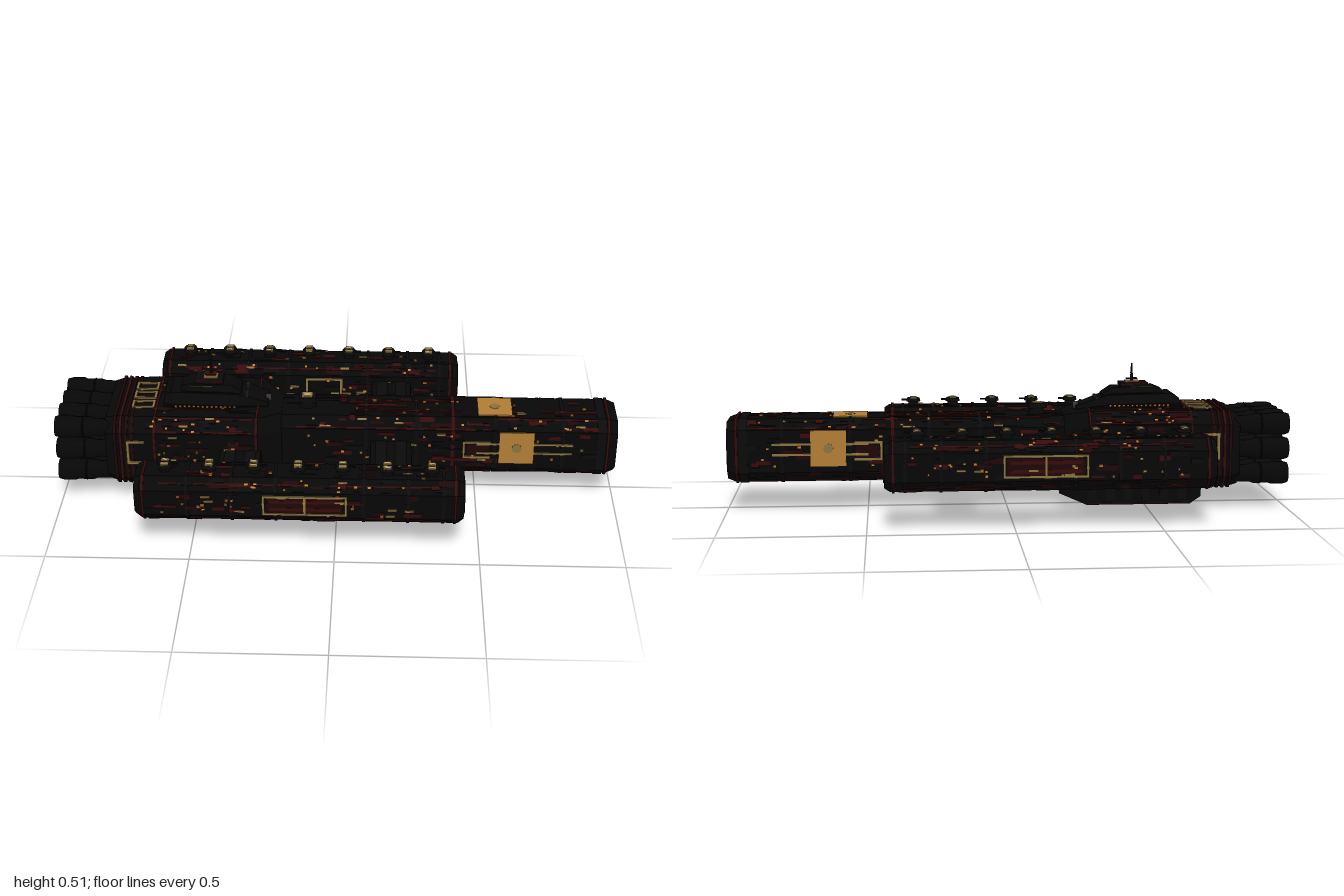
import * as THREE from 'three';
import { mergeGeometries } from 'three/addons/utils/BufferGeometryUtils.js';

export function createModel() {
  const group = new THREE.Group();
  const mat = (name, color) => {
    const m = new THREE.MeshStandardMaterial({ color });
    m.name = name;
    return m;
  };
  const M = {
    black: mat('hull black', 0x070707),
    panel: mat('panel black', 0x0c0b0b),
    red: mat('trim red', 0x360a0a),
    deep: mat('deep red', 0x1f0707),
    tan: mat('marking tan', 0x8a7340),
    cream: mat('turret cream', 0xb9a468),
    orange: mat('panel orange', 0xb27d35),
    light: mat('window amber', 0xd07a2a),
    grey: mat('sensor grey', 0x34322f),
  };

  // Collect geometry by part and colour; each bin becomes one mesh
  const bins = new Map();
  const add = (part, color, geo) => {
    const g = geo.index ? geo.toNonIndexed() : geo;
    g.deleteAttribute('uv');
    const key = part + ':' + color;
    if (!bins.has(key)) bins.set(key, []);
    bins.get(key).push(g);
  };
  const box = (part, color, x, y, z, w, h, d) =>
    add(part, color, new THREE.BoxGeometry(w, h, d).translate(x, y, z));

  let seed = 77;
  const rnd = () => (seed = (seed * 16807) % 2147483647) / 2147483647;
  const pick = (a) => a[Math.floor(rnd() * a.length)];

  // Octagonal loft along x; section = [x, halfWidth, bottom, top, chamfer]
  const loft = (part, color, sections, zc = 0) => {
    const rings = sections.map(([x, w, b, t, c]) =>
      [[c - w, t], [w - c, t], [w, t - c], [w, b + c], [w - c, b], [c - w, b], [-w, b + c], [-w, t - c]]
        .map(([z, y]) => [x, y, z + zc]));
    const pos = [];
    const tri = (a, b, c) => pos.push(...a, ...b, ...c);
    for (let s = 0; s < rings.length - 1; s++) {
      for (let i = 0; i < 8; i++) {
        const j = (i + 1) % 8, p = rings[s], q = rings[s + 1];
        tri(p[i], p[j], q[j]);
        tri(p[i], q[j], q[i]);
      }
    }
    const first = rings[0], last = rings[rings.length - 1];
    for (let i = 1; i < 7; i++) {
      tri(first[0], first[i + 1], first[i]);
      tri(last[0], last[i], last[i + 1]);
    }
    const g = new THREE.BufferGeometry();
    g.setAttribute('position', new THREE.Float32BufferAttribute(pos, 3));
    g.computeVertexNormals();
    add(part, color, g);
  };

  // Thin plate on face k of a body (0 top, 2 left, 4 bottom, 6 right, odd = chamfers)
  const plate = (body, color, k, x, t, len, wid, thick = 0.004) => {
    const a = k * Math.PI / 4, odd = k % 2 ? body.c / 2 : 0;
    const ny = Math.cos(a), nz = Math.sin(a);
    const dy = Math.abs(ny) < 0.01 ? 0 : Math.sign(ny) * (body.h - odd);
    const dz = Math.abs(nz) < 0.01 ? 0 : Math.sign(nz) * (body.w - odd);
    add(body.name + ' plating', color, new THREE.BoxGeometry(len, thick, wid)
      .translate(0, 0, t).rotateX(a).translate(x, body.y + dy, body.z + dz));
  };
  const frame = (body, color, k, x0, x1, t0, t1, open = false, s = 0.008) => {
    const xm = (x0 + x1) / 2, tm = (t0 + t1) / 2;
    for (const t of [t0, t1]) plate(body, color, k, xm, t, x1 - x0, s, 0.0095);
    for (const x of open ? [x0] : [x0, x1]) plate(body, color, k, x, tm, s, t1 - t0 + s, 0.0095);
  };
  const band = (body, color, x, len, e = 0.003) => {
    const s = [body.w + e, body.y - body.h - e, body.y + body.h + e, body.c + e * 0.5];
    loft(body.name + ' bands', color, [[x - len / 2, ...s], [x + len / 2, ...s]], body.z);
  };
  // Seeded hull panels, then lit windows and short dashes
  const scatter = (body, panels, lights, x0, x1) => {
    const spot = (k) => {
      const half = k % 2 ? body.c * 0.65 : (k % 4 ? body.h : body.w) - body.c;
      return [x0 + rnd() * (x1 - x0), (rnd() * 2 - 1) * half * 0.85];
    };
    for (let i = 0; i < panels; i++) {
      const k = i % 8, [x, t] = spot(k);
      plate(body, pick(['panel', 'black', 'deep', 'red']), k, x, t,
        0.02 + rnd() * 0.06, 0.006 + rnd() * 0.014, 0.004 + rnd() * 0.004);
    }
    for (let i = 0; i < lights; i++) {
      const k = [0, 1, 2, 6, 7, 2, 6][i % 7], [x, t] = spot(k);
      const dash = rnd() < 0.2;
      plate(body, dash ? 'tan' : pick(['light', 'light', 'tan', 'orange']), k, x, t,
        dash ? 0.032 : 0.007 + rnd() * 0.006, 0.007, 0.0095);
    }
  };
  // Chamfered square red ring on an end face
  const endRing = (part, x, y, z, r, inner) => {
    const outline = (C, h) => {
      const c = h * 0.62;
      return new C([[h, -c], [h, c], [c, h], [-c, h], [-h, c], [-h, -c], [-c, -h], [c, -h]]
        .map((p) => new THREE.Vector2(...p)));
    };
    const s = outline(THREE.Shape, r);
    s.holes.push(outline(THREE.Path, inner));
    add(part, 'red', new THREE.ExtrudeGeometry(s, { depth: 0.004, bevelEnabled: false })
      .rotateY(Math.PI / 2).translate(x - 0.002, y, z));
  };

  // Long forward hull
  const hull = { name: 'forward hull', y: 0.22, z: 0, w: 0.108, h: 0.112, c: 0.036 };
  loft('forward hull', 'black', [[-0.3, 0.108, 0.108, 0.332, 0.036], [0.965, 0.108, 0.108, 0.332, 0.036],
    [0.994, 0.098, 0.118, 0.322, 0.034]]);
  endRing('nose ring', 0.995, 0.222, 0, 0.077, 0.055);
  band(hull, 'red', 0.96, 0.009, 0.005);
  band(hull, 'panel', 0.935, 0.03, 0.004);
  for (const x of [0.1, 0.28, 0.41, 0.56, 0.8]) band(hull, x === 0.41 ? 'red' : 'panel', x, 0.012);
  for (const k of [1, 3, 5, 7]) {
    plate(hull, 'red', k, 0.2, 0.02, 0.7, 0.005, 0.006);
    plate(hull, 'red', k, 0.75, -0.02, 0.36, 0.005, 0.006);
  }
  for (const t of [-0.035, 0.035]) plate(hull, 'red', 0, 0.25, t, 0.38, 0.008, 0.007);
  plate(hull, 'red', 0, 0.82, 0.03, 0.2, 0.012, 0.007);
  plate(hull, 'red', 0, 0.16, 0, 0.18, 0.014, 0.007);
  plate(hull, 'deep', 4, 0.07, 0, 0.44, 0.11, 0.008);
  scatter(hull, 240, 100, -0.18, 0.92);
  for (const k of [2, 6]) {
    const s = k === 2 ? 1 : -1;
    plate(hull, 'orange', k, 0.637, -0.01 * s, 0.125, 0.128, 0.0098);
    add('orange panel discs', 'tan', new THREE.CylinderGeometry(0.018, 0.018, 0.004, 8)
      .rotateX(Math.PI / 2).translate(0.637, 0.23, s * 0.112));
    for (const t of [-0.025, 0.012]) plate(hull, 'tan', k, 0.665, t * s, 0.34, 0.008, 0.0095);
    frame(hull, 'tan', k, 0.45, 0.545, -0.03, 0.03, true);
    plate(hull, 'red', k, 0.44, 0.04 * s, 0.11, 0.012, 0.008);
    plate(hull, 'deep', k, 0.5, 0, 0.08, 0.045, 0.006);
  }
  plate(hull, 'orange', 0, 0.56, 0, 0.122, 0.122, 0.0098);
  add('orange panel discs', 'tan', new THREE.CylinderGeometry(0.018, 0.018, 0.004, 8).translate(0.56, 0.336, 0));

  // Wide engine block
  const block = { name: 'engine block', y: 0.217, z: 0, w: 0.188, h: 0.14, c: 0.045 };
  loft('engine block', 'black', [[-0.82, 0.175, 0.09, 0.345, 0.045], [-0.79, 0.182, 0.083, 0.352, 0.045],
    [-0.66, 0.188, 0.077, 0.357, 0.045], [-0.28, 0.188, 0.077, 0.357, 0.045], [-0.2, 0.112, 0.105, 0.335, 0.045]]);
  for (const x of [-0.785, -0.765, -0.745, -0.725]) {
    const s = [0.188, 0.077, 0.358, 0.046];
    loft('engine block bands', x === -0.765 ? 'red' : 'deep', [[x - 0.005, ...s], [x + 0.005, ...s]]);
  }
  band(block, 'red', -0.645, 0.008);
  band(block, 'red', -0.285, 0.008, 0.004);
  for (const k of [1, 3, 5, 7]) for (const t of [-0.025, 0.025]) plate(block, 'red', k, -0.47, t, 0.34, 0.005, 0.006);
  scatter(block, 170, 80, -0.66, -0.31);
  for (const k of [2, 6]) {
    const s = k === 2 ? 1 : -1;
    frame(block, 'tan', k, -0.74, -0.68, Math.min(-0.06 * s, 0.025 * s), Math.max(-0.06 * s, 0.025 * s), true, 0.01);
  }
  for (const z of [-0.068, -0.005, 0.06]) frame(block, 'tan', 0, -0.73, -0.657, z - 0.021, z + 0.021, false, 0.009);
  frame(block, 'tan', 6, -0.6, -0.52, -0.09, -0.045);

  // Engine bells: four columns by three rows
  const bell = [[0, 0], [0.03, 0], [0.032, 0.06], [0.037, 0.075], [0.037, 0.13], [0.041, 0.14],
    [0.041, 0.18], [0.036, 0.198], [0.028, 0.198], [0.022, 0.15], [0, 0.145]].map((p) => new THREE.Vector2(...p));
  for (const y of [0.128, 0.217, 0.306]) {
    for (const z of [-0.135, -0.045, 0.045, 0.135]) {
      add('engine bells', 'black', new THREE.LatheGeometry(bell, 14).rotateZ(Math.PI / 2).translate(-0.802, y, z));
      add('engine bell rings', 'panel', new THREE.TorusGeometry(0.037, 0.003, 4, 14).rotateY(Math.PI / 2).translate(-0.9, y, z));
    }
  }

  // Ventral keel
  const keel = new THREE.Shape([[-0.7, 0.12], [-0.7, 0.035], [-0.66, 0.008], [-0.285, 0.008], [-0.19, 0.05], [-0.19, 0.12]]
    .map((p) => new THREE.Vector2(...p)));
  add('keel', 'black', new THREE.ExtrudeGeometry(keel, { depth: 0.17, bevelEnabled: false }).translate(0, 0, -0.085));
  box('keel skid', 'panel', -0.47, 0.005, 0, 0.34, 0.01, 0.075);
  for (const s of [-1, 1]) {
    box('keel trim', 'red', -0.188, 0.085, s * 0.073, 0.004, 0.07, 0.007);
    box('keel trim', 'red', -0.47, 0.007, s * 0.06, 0.34, 0.005, 0.018);
    box('keel trim', 'deep', -0.47, 0.012, s * 0.085, 0.36, 0.006, 0.005);
    for (let i = 0; i < 6; i++) box('keel ribs', 'panel', -0.63 + i * 0.065, 0.065, s * 0.086, 0.03, 0.08, 0.004);
  }

  // Command tower with mast
  loft('command tower', 'black', [[-0.62, 0.075, 0.34, 0.39, 0.02], [-0.595, 0.088, 0.34, 0.407, 0.03],
    [-0.36, 0.088, 0.34, 0.402, 0.03], [-0.25, 0.05, 0.34, 0.362, 0.009]]);
  loft('upper bridge', 'black', [[-0.56, 0.045, 0.39, 0.42, 0.012], [-0.53, 0.058, 0.39, 0.432, 0.02],
    [-0.38, 0.058, 0.39, 0.428, 0.02], [-0.345, 0.045, 0.39, 0.405, 0.007]]);
  box('bridge roof', 'panel', -0.46, 0.437, 0, 0.1, 0.012, 0.07);
  box('bridge roof trim', 'tan', -0.455, 0.446, 0, 0.05, 0.005, 0.035);
  for (const s of [-1, 1]) {
    for (let i = 0; i < 14; i++) box('bridge windows', 'light', -0.575 + i * 0.016, 0.368, s * 0.089, 0.007, 0.006, 0.004);
    box('tower trim', 'red', -0.48, 0.358, s * 0.089, 0.22, 0.006, 0.004);
    box('bridge roof trim', 'red', -0.46, 0.441, s * 0.034, 0.1, 0.005, 0.005);
    box('bracket mark', 'tan', -0.485, 0.432, s * 0.057, 0.08, 0.003, 0.004);
    for (let i = 0; i < 4; i++) box('forward windows', 'grey', -0.325, 0.391, s * (0.012 + i * 0.012), 0.012, 0.006, 0.006);
  }
  add('forward sensor', 'grey', new THREE.CylinderGeometry(0.014, 0.014, 0.02, 8).rotateZ(Math.PI / 2).translate(-0.25, 0.36, 0));
  add('mast', 'panel', new THREE.CylinderGeometry(0.0025, 0.006, 0.065, 8).translate(-0.455, 0.478, 0));
  box('mast crossbar', 'grey', -0.455, 0.474, 0, 0.003, 0.003, 0.058);
  box('mast crossbar', 'red', -0.455, 0.456, 0, 0.04, 0.003, 0.03);

  // Dorsal gun turret
  add('dorsal turret', 'black', new THREE.CylinderGeometry(0.025, 0.032, 0.025, 10).translate(-0.11, 0.343, 0));
  box('dorsal turret', 'panel', -0.11, 0.362, 0, 0.06, 0.018, 0.05);
  box('dorsal turret cap', 'tan', -0.112, 0.3715, 0, 0.036, 0.003, 0.034);
  box('dorsal turret cap', 'cream', -0.112, 0.373, 0, 0.022, 0.003, 0.02);
  for (const z of [-0.011, 0.011]) {
    add('gun barrels', 'black', new THREE.CylinderGeometry(0.005, 0.005, 0.11, 8).rotateZ(Math.PI / 2).translate(-0.025, 0.361, z));
    box('gun muzzles', 'red', 0.02, 0.361, z, 0.025, 0.012, 0.012);
  }

  // Side nacelles, struts and nacelle turrets
  for (const s of [1, -1]) {
    const name = s > 0 ? 'left nacelle' : 'right nacelle';
    const n = { name, y: 0.222, z: s * 0.401, w: 0.084, h: 0.086, c: 0.038 };
    loft(name, 'black', [[-0.68, 0.072, 0.148, 0.296, 0.034], [-0.66, 0.084, 0.136, 0.308, 0.038],
      [0.42, 0.084, 0.136, 0.308, 0.038], [0.44, 0.072, 0.148, 0.296, 0.034]], n.z);
    for (const x of [-0.681, 0.441]) endRing(name + ' end ring', x, n.y, n.z, 0.056, 0.037);
    for (const x of [-0.65, 0.41]) band(n, 'red', x, 0.008, 0.004);
    for (const x of [-0.5, -0.35, -0.2, 0.1, 0.25, 0.37]) band(n, 'panel', x, 0.01);
    for (const k of [1, 3, 5, 7]) plate(n, 'red', k, -0.12, 0, 0.95, 0.005, 0.006);
    scatter(n, 200, 90, -0.62, 0.38);
    const outer = s > 0 ? 2 : 6, inner = 8 - outer;
    plate(n, 'deep', outer, -0.1, 0, 0.26, 0.06, 0.008);
    for (const t of [-0.015, 0.015]) plate(n, 'red', outer, -0.1, t, 0.24, 0.012, 0.009);
    frame(n, 'tan', outer, -0.24, -0.1, -0.034, 0.036);
    frame(n, 'tan', outer, -0.1, 0.04, -0.034, 0.036);
    frame(n, 'tan', inner, -0.13, 0, -0.035, 0.035);

    for (let i = 0; i < 7; i++) {
      const x = -0.577 + i * 0.151, z = s * 0.406;
      add('nacelle turrets', 'black', new THREE.CylinderGeometry(0.018, 0.022, 0.022, 8).translate(x, 0.315, z));
      add('nacelle turrets', 'panel', new THREE.CylinderGeometry(0.024, 0.027, 0.014, 8).translate(x, 0.33, z));
      for (const o of [-0.013, 0.013]) {
        box('turret caps', 'tan', x, 0.338, z + o, 0.026, 0.003, 0.018);
        box('turret cap lights', 'cream', x, 0.3395, z + o, 0.016, 0.003, 0.012);
      }
      box('turret barrels', 'black', x + 0.03, 0.33, z, 0.03, 0.006, 0.006);
    }
    for (const x of [-0.34, 0.19]) {
      box('struts', 'black', x, 0.218, s * 0.22, 0.144, 0.06, 0.24);
      for (const e of [-1, 1]) {
        box('strut trim', 'deep', x + e * 0.072, 0.219, s * 0.22, 0.004, 0.024, 0.22);
        box('strut ribs', 'panel', x + e * 0.035, 0.249, s * 0.22, 0.04, 0.005, 0.22);
      }
      box('strut underside', 'deep', x, 0.188, s * 0.22, 0.11, 0.004, 0.21);
    }
  }

  for (const [key, geos] of bins) {
    const [part, color] = key.split(':');
    const mesh = new THREE.Mesh(mergeGeometries(geos), M[color]);
    mesh.name = part;
    group.add(mesh);
  }
  return group;
}
